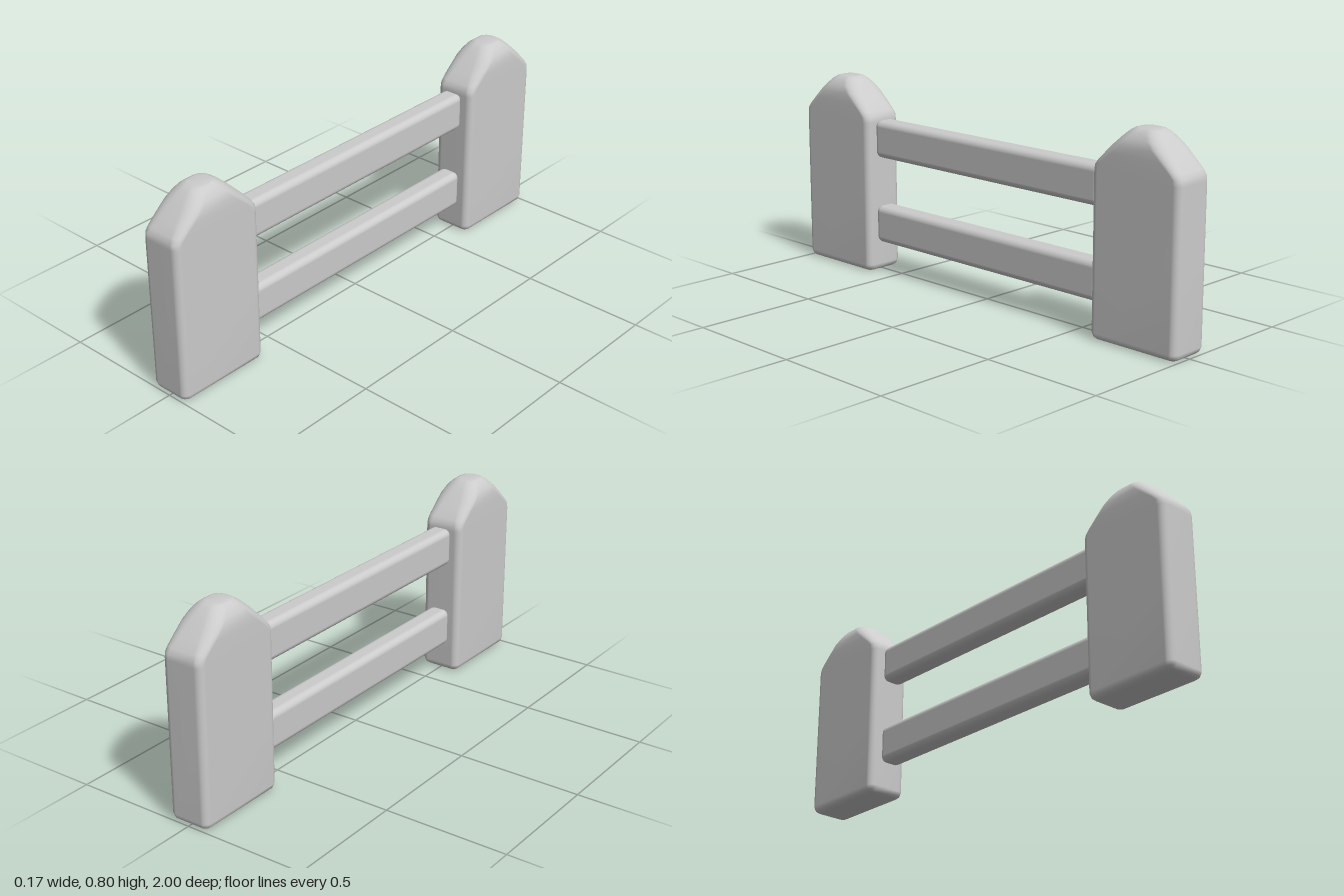
import * as THREE from 'three';
import { RoundedBoxGeometry } from 'three/addons/geometries/RoundedBoxGeometry.js';

const material = new THREE.MeshStandardMaterial({ color: 0xcccccc });

// Post cross-sections going up: [y, half width x, half depth z, corner radius]
const POST_RINGS = [
  [0, 0.058, 0.170, 0.012],
  [0.003, 0.070, 0.182, 0.018],
  [0.011, 0.080, 0.192, 0.024],
  [0.028, 0.086, 0.198, 0.028],
  [0.33, 0.086, 0.198, 0.028],
  [0.63, 0.086, 0.198, 0.028],
  [0.652, 0.086, 0.196, 0.030],
  [0.672, 0.086, 0.184, 0.036],
  [0.705, 0.086, 0.155, 0.046],
  [0.74, 0.085, 0.121, 0.052],
  [0.765, 0.076, 0.096, 0.052],
  [0.787, 0.061, 0.072, 0.046],
  [0.799, 0.046, 0.054, 0.036],
  [0.803, 0.034, 0.040, 0.026],
];
const CORNER_STEPS = 5;

// Skins a stack of rounded rectangles and closes both ends
function postGeometry() {
  const positions = [], index = [];
  const count = 4 * (CORNER_STEPS + 1);
  for (const [y, hx, hz, r] of POST_RINGS) {
    for (let c = 0; c < 4; c++) {
      const sx = c === 0 || c === 3 ? 1 : -1;
      const sz = c < 2 ? 1 : -1;
      for (let s = 0; s <= CORNER_STEPS; s++) {
        const a = (c + s / CORNER_STEPS) * Math.PI / 2;
        positions.push(sx * (hx - r) + r * Math.cos(a), y, sz * (hz - r) + r * Math.sin(a));
      }
    }
  }
  const last = POST_RINGS.length - 1;
  const bottom = positions.length / 3, top = bottom + 1;
  positions.push(0, 0, 0, 0, POST_RINGS[last][0], 0);
  for (let j = 0; j < count; j++) {
    const k = (j + 1) % count;
    for (let i = 0; i < last; i++) {
      const a = i * count + j, b = i * count + k;
      index.push(a, a + count, b, b, a + count, b + count);
    }
    index.push(bottom, j, k, top, last * count + k, last * count + j);
  }
  const geometry = new THREE.BufferGeometry();
  geometry.setAttribute('position', new THREE.Float32BufferAttribute(positions, 3));
  geometry.setIndex(index);
  geometry.computeVertexNormals();
  return geometry;
}

export function createModel() {
  const group = new THREE.Group();
  group.name = 'fence';

  // Two peaked end posts
  const post = postGeometry();
  for (const [name, side] of [['frontPost', 1], ['backPost', -1]]) {
    const mesh = new THREE.Mesh(post, material);
    mesh.name = name;
    mesh.position.z = side * 0.802;
    group.add(mesh);
  }

  // Two horizontal rails between the posts
  const rail = new RoundedBoxGeometry(0.09, 0.155, 1.214, 4, 0.026);
  for (const [name, y] of [['lowerRail', 0.203], ['upperRail', 0.562]]) {
    const mesh = new THREE.Mesh(rail, material);
    mesh.name = name;
    mesh.position.set(0, y, 0.003);
    group.add(mesh);
  }
  return group;
}
